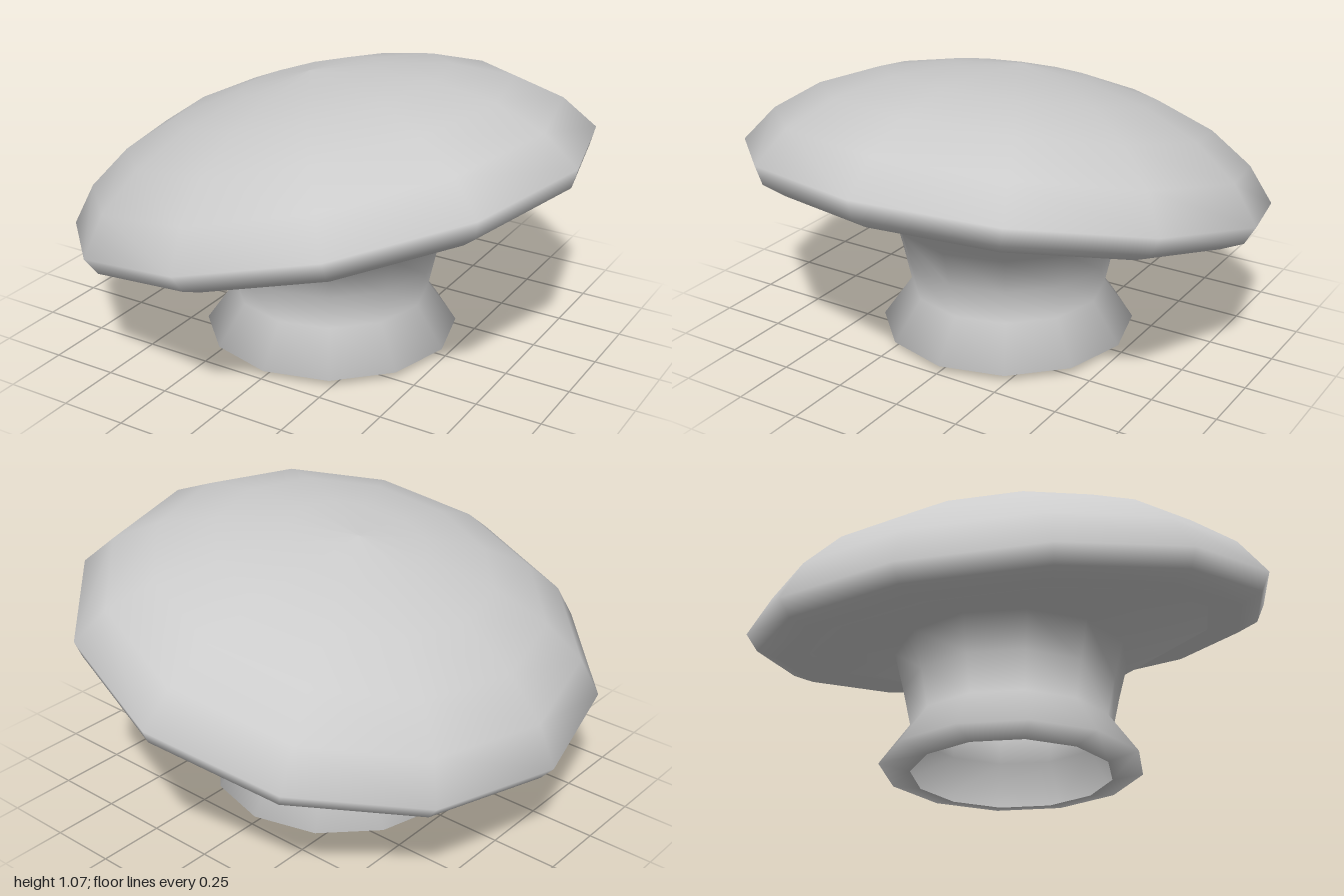
import * as THREE from 'three';
import { mergeVertices } from 'three/addons/utils/BufferGeometryUtils.js';

const SIDES = 12;
const TILT = 0.232;      // the cap leans up towards +x
const CAP_Y = 0.63;      // height of the cap's rim centre
const LIP = [0.76, -0.085]; // inner lip of the cap, where the underside starts

const toPoints = (list) => list.map(([r, y]) => new THREE.Vector2(r, y));

export function createModel() {
  const model = new THREE.Group();
  model.name = 'mushroom';
  const material = new THREE.MeshStandardMaterial({ color: 0xcccccc, side: THREE.DoubleSide });

  // Domed cap with a rolled rim
  const capProfile = [
    LIP, [0.88, -0.104], [0.963, -0.066], [0.998, 0], [0.897, 0.132],
    [0.737, 0.246], [0.52, 0.334], [0.267, 0.386], [0, 0.41],
  ];
  const cap = new THREE.Mesh(new THREE.LatheGeometry(toPoints(capProfile), SIDES), material);
  cap.name = 'cap';
  cap.rotation.z = TILT;
  cap.position.y = CAP_Y;
  cap.updateMatrix();
  model.add(cap);

  // Hollow stem, flaring out at the top to meet the tilted lip
  const stemProfile = [
    [0.37, 0], [0.485, 0.025], [0.375, 0.18], [0.405, 0.32], [0.44, 0.46], LIP,
  ];
  let stemGeometry = new THREE.LatheGeometry(toPoints(stemProfile), SIDES);
  const position = stemGeometry.attributes.position;
  const corner = new THREE.Vector3();
  for (let i = stemProfile.length - 1; i < position.count; i += stemProfile.length) {
    corner.fromBufferAttribute(position, i).applyMatrix4(cap.matrix);
    position.setXYZ(i, corner.x, corner.y, corner.z);
  }
  // Weld the seam so the shading is smooth all round
  stemGeometry.deleteAttribute('uv');
  stemGeometry.deleteAttribute('normal');
  stemGeometry = mergeVertices(stemGeometry);
  stemGeometry.computeVertexNormals();
  const stem = new THREE.Mesh(stemGeometry, material);
  stem.name = 'stemAndUnderside';
  model.add(stem);

  return model;
}
